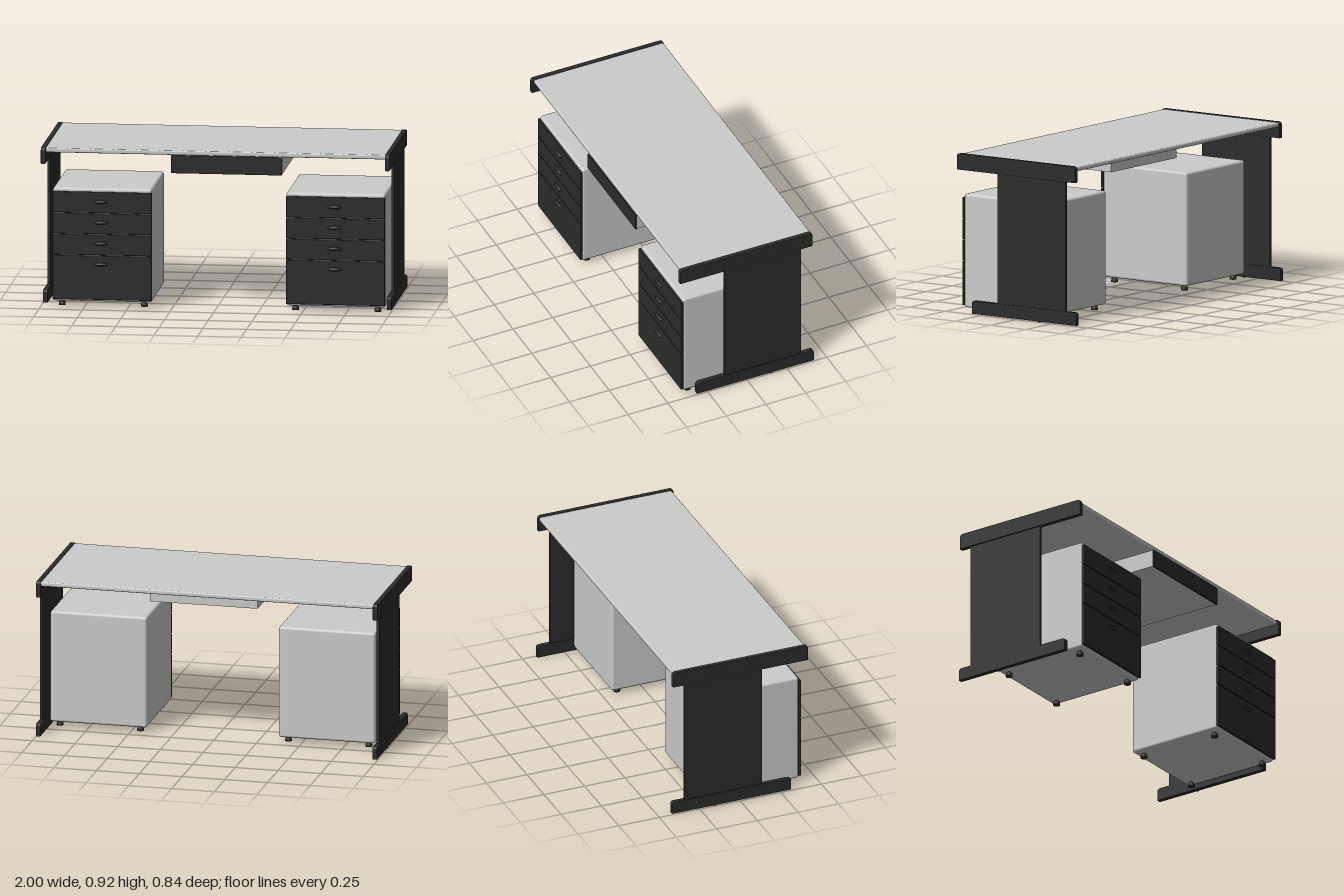
import * as THREE from 'three';
import { RoundedBoxGeometry } from 'three/addons/geometries/RoundedBoxGeometry.js';

const grey = new THREE.MeshStandardMaterial({ color: 0xcccccc });
const black = new THREE.MeshStandardMaterial({ color: 0x2c2c2c });

function addMesh(parent, name, geometry, material, x = 0, y = 0, z = 0) {
  const mesh = new THREE.Mesh(geometry, material);
  mesh.name = name;
  mesh.position.set(x, y, z);
  parent.add(mesh);
  return mesh;
}

// Box given by its [min, max] range on each axis; rounded if a radius is given
function addBox(parent, name, material, [x0, x1], [y0, y1], [z0, z1], radius = 0) {
  const size = [x1 - x0, y1 - y0, z1 - z0];
  const geometry = radius
    ? new RoundedBoxGeometry(...size, 3, radius)
    : new THREE.BoxGeometry(...size);
  return addMesh(parent, name, geometry, material, (x0 + x1) / 2, (y0 + y1) / 2, (z0 + z1) / 2);
}

// Rail running front to back, rounded at its two upper ends, centred on x
function railGeometry(y0, y1, z0, z1, width) {
  const r = 0.016, bevel = 0.003;
  const a = -z1 + bevel, b = -z0 - bevel, lo = y0 + bevel, hi = y1 - bevel;
  const shape = new THREE.Shape();
  shape.moveTo(a, lo);
  shape.lineTo(b, lo);
  shape.lineTo(b, hi - r);
  shape.quadraticCurveTo(b, hi, b - r, hi);
  shape.lineTo(a + r, hi);
  shape.quadraticCurveTo(a, hi, a, hi - r);
  shape.closePath();
  const depth = width - 2 * bevel;
  return new THREE.ExtrudeGeometry(shape, {
    depth, bevelEnabled: true, bevelSize: bevel, bevelThickness: bevel, bevelSegments: 2, curveSegments: 6,
  }).translate(0, 0, -depth / 2).rotateY(Math.PI / 2);
}

// Side frame: top rail, upright panel and foot with glides
function createLeg(side) {
  const leg = new THREE.Group();
  leg.name = side > 0 ? 'leftLeg' : 'rightLeg';
  const x = side * 0.985;
  addMesh(leg, 'topRail', railGeometry(0.825, 0.918, -0.412, 0.42, 0.028), black, x);
  addMesh(leg, 'foot', railGeometry(0.004, 0.078, -0.42, 0.315, 0.028), black, x);
  addBox(leg, 'uprightPanel', black, [x - 0.008, x + 0.008], [0.06, 0.84], [-0.342, 0.138]);
  addMesh(leg, 'glide', new THREE.CylinderGeometry(0.012, 0.012, 0.006, 16), black, x, 0.003, -0.155);
  return leg;
}

// Almond-shaped pull: domed above, flatter below
function pullGeometry() {
  const geometry = new THREE.SphereGeometry(1, 24, 12);
  const p = geometry.attributes.position;
  for (let i = 0; i < p.count; i++) {
    const y = p.getY(i);
    p.setXYZ(i, p.getX(i) * 0.04, y * (y > 0 ? 0.013 : 0.008), p.getZ(i) * 0.018);
  }
  geometry.computeVertexNormals();
  return geometry;
}

// Cabinet with four drawers on small dome feet
function createCabinet(name) {
  const cabinet = new THREE.Group();
  cabinet.name = name;
  const half = 0.283;
  addBox(cabinet, 'cabinetBody', grey, [-half, half], [0.03, 0.685], [-0.2, 0.39], 0.015);

  const drawers = [[0.544, 0.664], [0.422, 0.54], [0.3, 0.418], [0.042, 0.296]];
  const pullHeights = [0.606, 0.486, 0.365, 0.245];
  const pull = pullGeometry();
  drawers.forEach((range, i) => {
    addBox(cabinet, 'drawerFront', black, [-half, half], range, [0.387, 0.403], 0.003);
    addMesh(cabinet, 'drawerPull', pull, black, -0.006, pullHeights[i], 0.402);
  });

  const footProfile = [[0, 0], [0.02, 0], [0.02, 0.008], [0.017, 0.02], [0.01, 0.028], [0, 0.032]]
    .map(([x, y]) => new THREE.Vector2(x, y));
  const foot = new THREE.LatheGeometry(footProfile, 16);
  for (const x of [-0.235, 0.235])
    for (const z of [-0.15, 0.341]) addMesh(cabinet, 'cabinetFoot', foot, black, x, 0, z);
  return cabinet;
}

export function createModel() {
  const desk = new THREE.Group();
  desk.name = 'desk';

  addBox(desk, 'desktop', grey, [-0.978, 0.978], [0.889, 0.915], [-0.407, 0.407], 0.008);
  for (const side of [-1, 1]) desk.add(createLeg(side));

  // Shallow centre drawer under the top
  addBox(desk, 'centreDrawerTray', grey, [-0.25, 0.38], [0.788, 0.89], [-0.215, 0.4]);
  addBox(desk, 'centreDrawerFront', black, [-0.253, 0.382], [0.785, 0.889], [0.4, 0.411], 0.002);

  const rightCabinet = createCabinet('rightCabinet');
  rightCabinet.position.x = -0.65;
  const leftCabinet = createCabinet('leftCabinet');
  leftCabinet.position.x = 0.687;
  desk.add(rightCabinet, leftCabinet);
  return desk;
}
